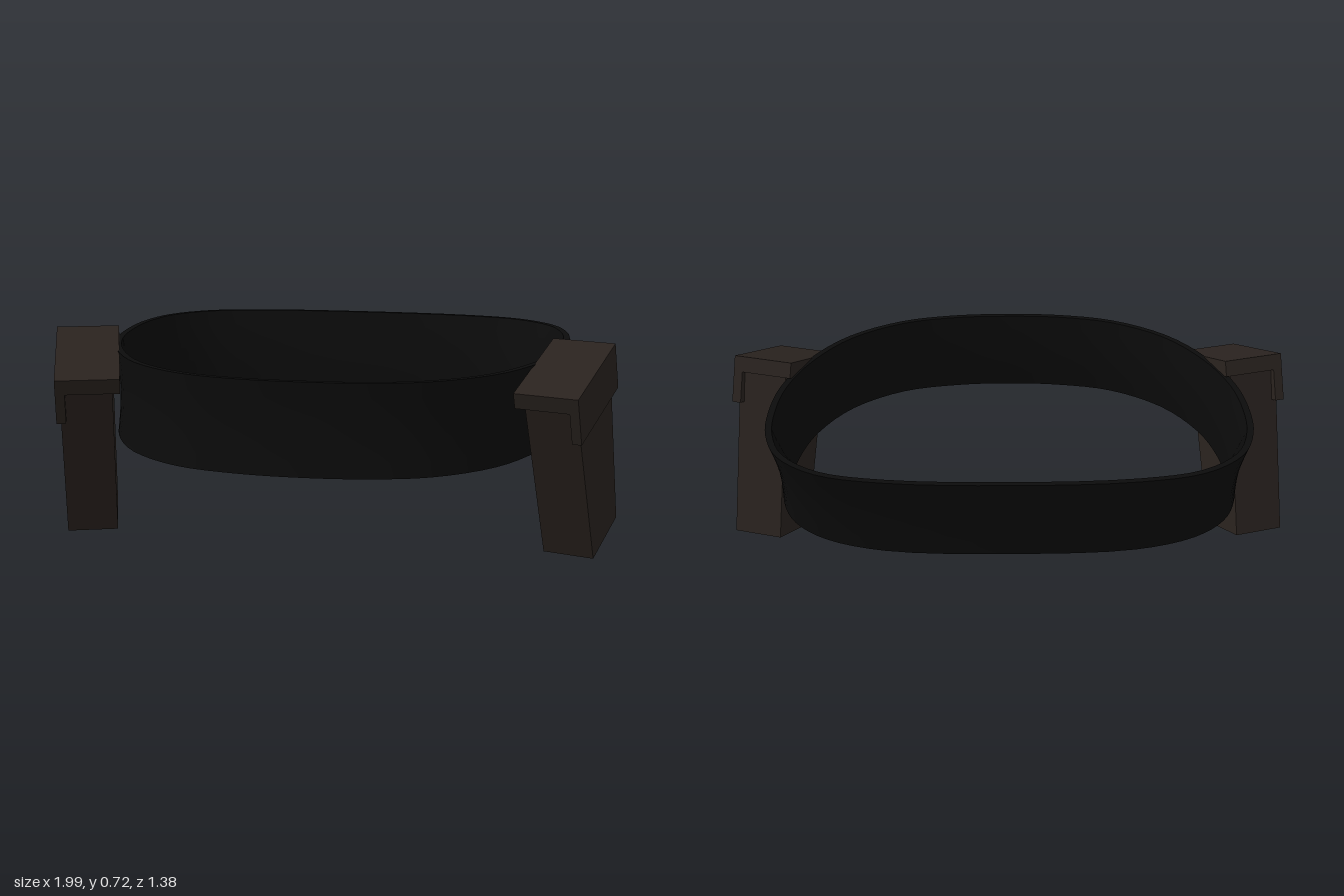
import * as THREE from 'three';
import { toCreasedNormals } from 'three/addons/utils/BufferGeometryUtils.js';

const BELT = new THREE.MeshStandardMaterial({ color: 0x0b0b0b });
const LEATHER = new THREE.MeshStandardMaterial({ color: 0x2a231f });

// Outer outline of the belt's edges, back centre to front centre, as [x, z]
const TOP_EDGE = [[0, -0.69], [0.4, -0.67], [0.61, -0.615], [0.74, -0.5], [0.795, -0.35], [0.808, -0.18],
  [0.79, 0.02], [0.72, 0.24], [0.59, 0.45], [0.4, 0.59], [0.2, 0.645], [0, 0.657]];
const BOTTOM_EDGE = [[0, -0.615], [0.4, -0.592], [0.6, -0.517], [0.71, -0.41], [0.762, -0.28], [0.777, -0.12],
  [0.768, 0.05], [0.72, 0.25], [0.6, 0.465], [0.41, 0.615], [0.2, 0.672], [0, 0.686]];

// Mirror a half outline into a closed smooth curve
function closedCurve(half, y, slope) {
  const mirrored = half.slice(1, -1).reverse().map(([x, z]) => [-x, z]);
  const points = [...half, ...mirrored].map(([x, z]) => new THREE.Vector3(x, y - slope * z, z));
  return new THREE.CatmullRomCurve3(points, true, 'centripetal');
}

// Flared strap: loft between the two edge curves, with an inner wall
function makeBelt() {
  const top = closedCurve(TOP_EDGE, 0.664, 0.008);
  const bottom = closedCurve(BOTTOM_EDGE, 0.368, 0.012);
  const around = 88, rows = 6, thickness = 0.022;
  const section = [];
  for (let j = 0; j <= rows; j++) section.push([j / rows, 0]);
  for (let j = rows; j >= 0; j--) section.push([j / rows, thickness]);

  const positions = [], index = [], n = section.length;
  for (let i = 0; i < around; i++) {
    const t = i / around;
    const lo = bottom.getPoint(t), hi = top.getPoint(t);
    const tangent = top.getTangent(t);
    const outward = new THREE.Vector3(tangent.z, 0, -tangent.x).normalize();
    for (const [v, inset] of section) {
      const p = lo.clone().lerp(hi, v);
      const waist = 1 - 0.016 * Math.sin(Math.PI * v);
      p.x *= waist;
      p.z *= waist;
      p.addScaledVector(outward, -inset);
      positions.push(p.x, p.y, p.z);
    }
    for (let j = 0; j < n; j++) {
      const k = (j + 1) % n, next = (i + 1) % around;
      const a = i * n + j, b = next * n + j, c = i * n + k, d = next * n + k;
      index.push(a, c, b, b, c, d);
    }
  }
  const geometry = new THREE.BufferGeometry();
  geometry.setAttribute('position', new THREE.Float32BufferAttribute(positions, 3));
  geometry.setIndex(index);
  const belt = new THREE.Mesh(toCreasedNormals(geometry, 0.7), BELT);
  belt.name = 'belt';
  return belt;
}

function box(name, w, h, d, x, y, z = 0) {
  const mesh = new THREE.Mesh(new THREE.BoxGeometry(w, h, d).translate(x, y, z), LEATHER);
  mesh.name = name;
  return mesh;
}

// Leaning pouch; local y = 0 is the top of its lid, side is +1 left or -1 right
function makePouch(side) {
  const pouch = new THREE.Group();
  pouch.name = side > 0 ? 'leftPouch' : 'rightPouch';

  // Body narrows from front to back towards its foot
  const height = 0.62;
  const body = box('pouchBody', 0.175, height, 0.345, side * 0.006, -0.028 - height / 2);
  const pos = body.geometry.attributes.position;
  for (let i = 0; i < pos.count; i++) {
    if (pos.getY(i) < -0.3) pos.setZ(i, pos.getZ(i) * 0.745);
  }
  body.geometry = toCreasedNormals(body.geometry, 0.1);

  pouch.add(
    body,
    box('pouchLid', 0.215, 0.055, 0.385, 0, -0.0275),
    box('pouchFlap', 0.032, 0.11, 0.385, side * 0.0915, -0.11),
  );

  // Axes of the lean: across the pouch, then its front, then up
  const across = new THREE.Vector3(0.205, 0, side * 0.065).normalize();
  const front = new THREE.Vector3(side * -0.12, -0.12, 0.345);
  const up = front.clone().cross(across).normalize();
  front.crossVectors(across, up);
  pouch.quaternion.setFromRotationMatrix(new THREE.Matrix4().makeBasis(across, up, front));
  pouch.position.set(side * 0.806, 0.66, 0.297);
  return pouch;
}

export function createModel() {
  const model = new THREE.Group();
  model.name = 'beltWithPouches';
  model.add(makeBelt(), makePouch(1), makePouch(-1));
  return model;
}
